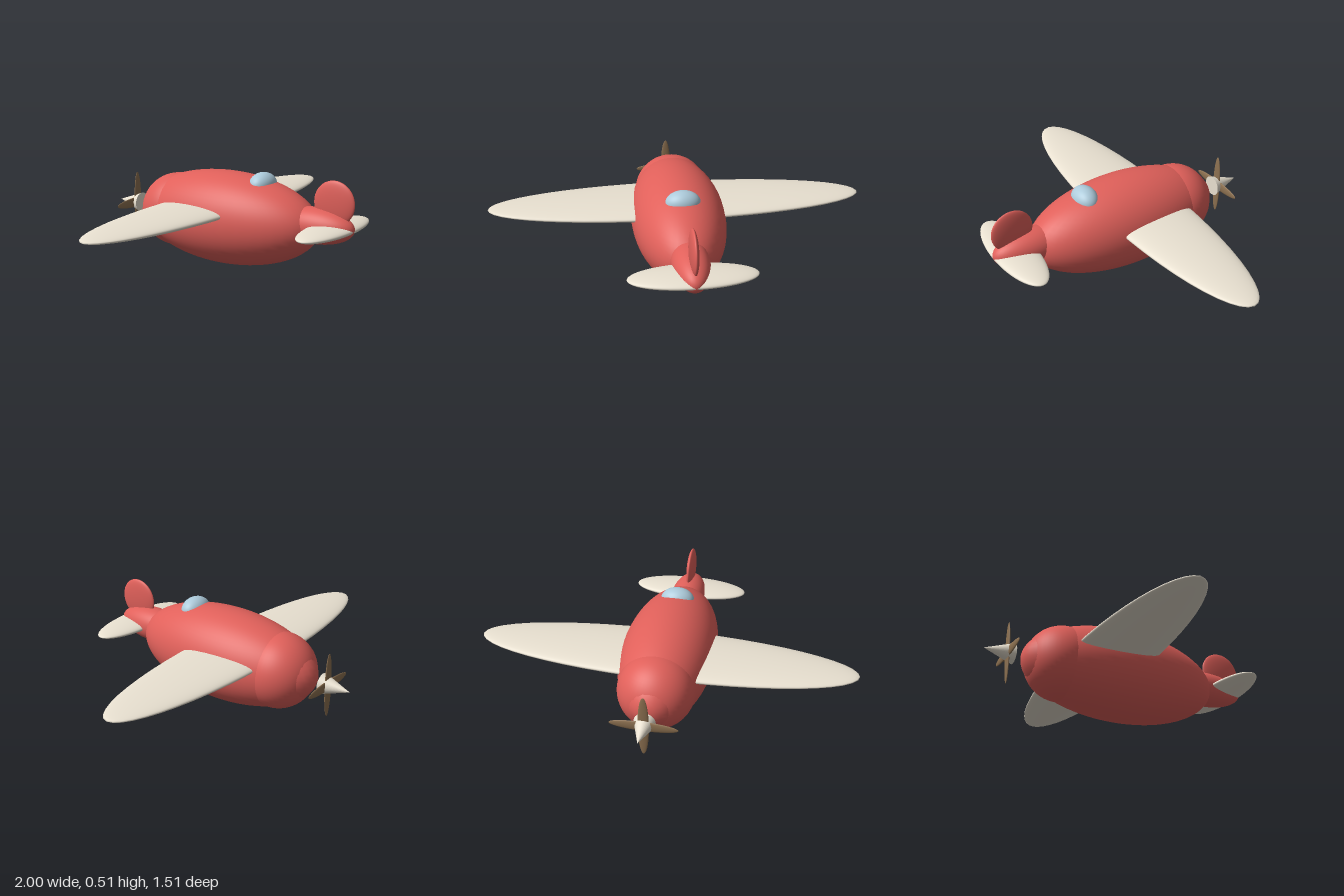
import * as THREE from 'three';

const material = (color) => new THREE.MeshStandardMaterial({ color });

export function createModel() {
  const plane = new THREE.Group();
  plane.name = 'airplane';

  const red = material(0xe0605a);
  const cream = material(0xe8e0d0);
  const glass = material(0xadcbdb);
  const wood = material(0x8c7050);

  const sphere = new THREE.SphereGeometry(1, 48, 32);

  // Stretched sphere: centre and radii along x, y, z
  function ellipsoid(name, mat, centre, radii, parent = plane) {
    const mesh = new THREE.Mesh(sphere, mat);
    mesh.name = name;
    mesh.position.set(...centre);
    mesh.scale.set(...radii);
    parent.add(mesh);
    return mesh;
  }

  // Body, with the engine end towards -z
  ellipsoid('fuselage', red, [0, 0.248, 0], [0.248, 0.248, 0.55]);
  ellipsoid('nose', red, [0, 0.248, -0.33], [0.2, 0.2, 0.2]);
  ellipsoid('tailCone', red, [0, 0.275, 0.53], [0.095, 0.093, 0.222]);
  ellipsoid('cockpitCanopy', glass, [0, 0.447, 0.222], [0.09, 0.064, 0.065]);

  // Flying surfaces
  ellipsoid('wing', cream, [0, 0.302, -0.093], [1, 0.04, 0.22]);
  ellipsoid('tailplane', cream, [0, 0.27, 0.639], [0.316, 0.03, 0.112]);
  ellipsoid('tailFin', red, [0, 0.4, 0.64], [0.022, 0.114, 0.113]);

  // Propeller: pointed spinner crossed by two thin blades
  const propeller = new THREE.Group();
  propeller.name = 'propeller';
  propeller.position.set(0, 0.25, -0.627);
  plane.add(propeller);

  const cone = new THREE.ConeGeometry(0.055, 0.158, 32).rotateX(-Math.PI / 2);
  const spinner = new THREE.Mesh(cone, cream);
  spinner.name = 'spinner';
  spinner.position.z = -0.047;
  propeller.add(spinner);

  ellipsoid('verticalBlade', wood, [0, 0, 0], [0.028, 0.172, 0.008], propeller);
  ellipsoid('horizontalBlade', wood, [0, 0, 0], [0.172, 0.028, 0.008], propeller);

  return plane;
}
